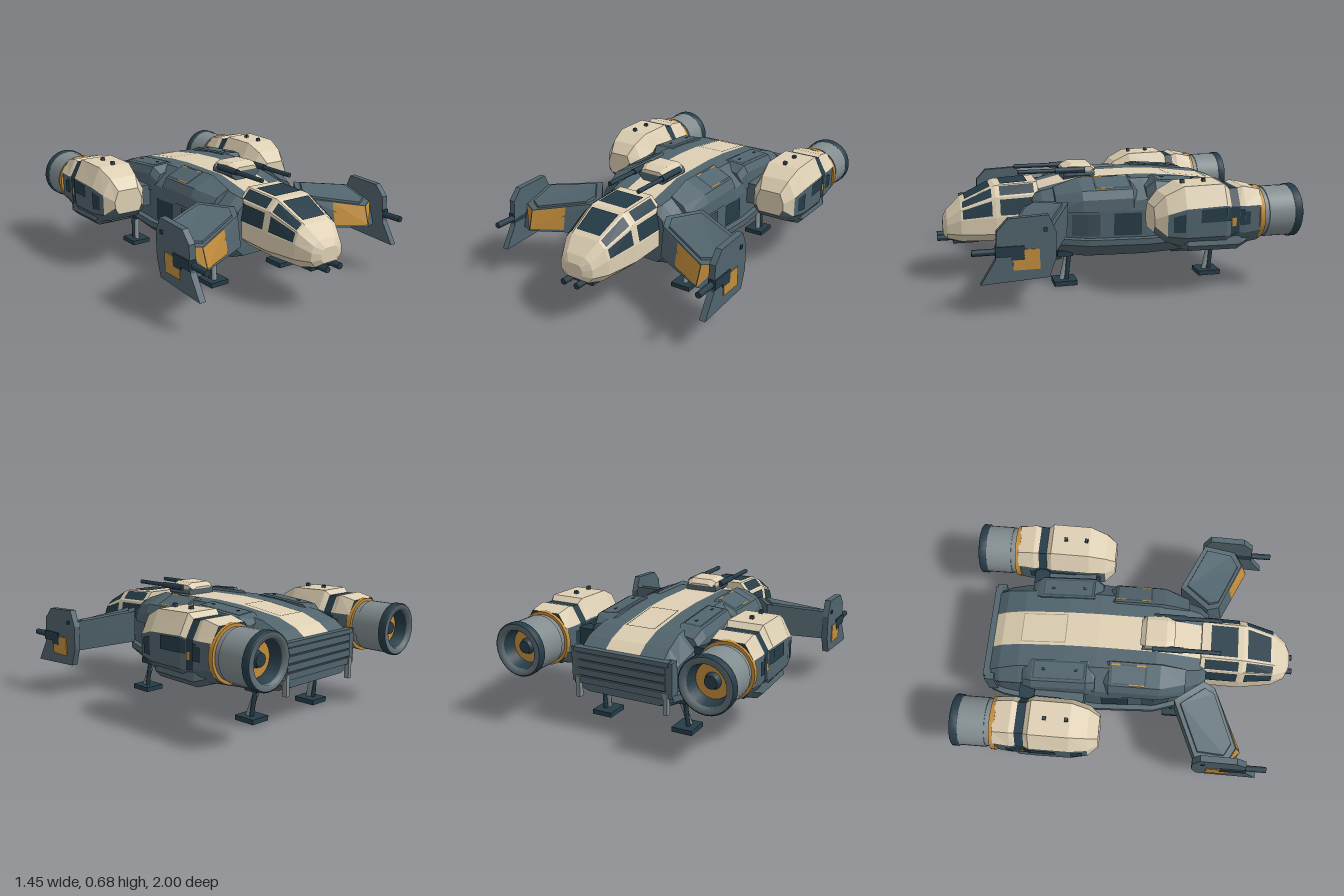
import * as THREE from 'three';

const paint = (name, color, side = THREE.FrontSide) => {
  const m = new THREE.MeshStandardMaterial({ color, side });
  m.name = name;
  return m;
};

export function createModel() {
  const slate = paint('slate', 0x51646d), navy = paint('navy', 0x263c48, THREE.DoubleSide);
  const cream = paint('cream', 0xddcfb3), orange = paint('orange', 0xc28d3b, THREE.DoubleSide);
  const grey = paint('grey', 0x828c8f), shade = paint('dark slate', 0x3c4d56), tan = paint('tan', 0xa89a80);
  const steel = paint('steel', 0x5d6b71, THREE.DoubleSide);
  const model = new THREE.Group();
  model.name = 'dropship';
  const half = new THREE.Group(); // everything on the left (+x), mirrored at the end

  const add = (name, geo, mat, parent = model) => {
    const m = new THREE.Mesh(geo, mat);
    m.name = name;
    parent.add(m);
    return m;
  };
  const soup = (tris) => {
    const g = new THREE.BufferGeometry();
    g.setAttribute('position', new THREE.Float32BufferAttribute(tris.flat(), 3));
    g.computeVertexNormals();
    return g;
  };
  const box = (name, x0, x1, y0, y1, z0, z1, mat, parent) => add(name,
    new THREE.BoxGeometry(x1 - x0, y1 - y0, z1 - z0)
      .translate((x0 + x1) / 2, (y0 + y1) / 2, (z0 + z1) / 2), mat, parent);
  // cylinder along z, from z0 (front) to z1 (back)
  const tubeZ = (name, x, y, z0, z1, r, mat, parent, n = 12, r1 = r) => add(name,
    new THREE.CylinderGeometry(r, r1, z0 - z1, n).rotateX(Math.PI / 2).translate(x, y, (z0 + z1) / 2), mat, parent);
  // bar between two points
  const bar = (name, a, b, r, mat, parent) => {
    const p = new THREE.Vector3(...a), q = new THREE.Vector3(...b), d = q.clone().sub(p);
    const m = add(name, new THREE.CylinderGeometry(r, r, d.length(), 8), mat, parent);
    m.position.copy(p).add(q).multiplyScalar(0.5);
    m.quaternion.setFromUnitVectors(new THREE.Vector3(0, 1, 0), d.normalize());
  };
  // rings run counter-clockwise seen from the first one; pick(face, bay) gives the colour
  const loft = (name, rings, pick, parent = model) => {
    const sets = new Map(), n = rings[0].length;
    const put = (mat, ...p) => sets.set(mat, [...(sets.get(mat) || []), ...p]);
    const col = (i, j) => (typeof pick === 'function' ? pick(i, j) : pick);
    for (let j = 0; j < rings.length - 1; j++) for (let i = 0; i < n; i++) {
      const k = (i + 1) % n, a = rings[j][i], b = rings[j][k], c = rings[j + 1][k], d = rings[j + 1][i];
      put(col(i, j), a, d, c, a, c, b);
    }
    const f = rings[0], e = rings[rings.length - 1];
    for (let i = 1; i < n - 1; i++) {
      put(col(-1, 0), f[0], f[i], f[i + 1]);
      put(col(-1, 1), e[0], e[i + 1], e[i]);
    }
    sets.forEach((t, mat) => add(name, soup(t), mat, parent));
  };
  const plate = (name, a, b, c, d, mat, parent) => { // quad lifted off its surface
    const v = [a, b, c, d].map((p) => new THREE.Vector3(...p));
    const nrm = v[2].clone().sub(v[0]).cross(v[3].clone().sub(v[1])).normalize().multiplyScalar(0.005);
    const p = v.map((q) => q.add(nrm).toArray());
    add(name, soup([p[0], p[1], p[2], p[0], p[2], p[3]]), mat, parent);
  };
  const patch = (name, rings, i, j, [u0, u1], [v0, v1], mat, parent) => {
    const k = (i + 1) % rings[0].length, mix = (p, q, t) => p.map((s, m) => s + (q[m] - s) * t);
    const at = (u, v) => mix(mix(rings[j][i], rings[j][k], u), mix(rings[j + 1][i], rings[j + 1][k], u), v);
    plate(name, at(u0, v0), at(u0, v1), at(u1, v1), at(u1, v0), mat, parent);
  };
  const ring = (z, pts) => pts.map(([x, y]) => [x, y, z]);
  const sym = (z, pts, cx = 0) => ring(z, [...pts.map(([x, y]) => [cx + x, y]),
    ...pts.map(([x, y]) => [cx - x, y]).reverse()]);

  // Hull: flat belly, side ledge, upright wall, sloped shoulders, roof falling to the stern
  const hull = [
    [0.45, 0.17, 0.2, 0.25, 0.27, 0.42, 0.21, 0.47, 0.15, 0.52],
    [0.4, 0.21, 0.185, 0.29, 0.255, 0.43, 0.25, 0.48, 0.18, 0.545],
    [0.15, 0.285, 0.165, 0.37, 0.245, 0.44, 0.33, 0.48, 0.22, 0.603],
    [-0.2, 0.295, 0.16, 0.385, 0.24, 0.44, 0.345, 0.5, 0.23, 0.607],
    [-0.39, 0.285, 0.165, 0.375, 0.245, 0.44, 0.34, 0.5, 0.235, 0.597],
    [-0.66, 0.265, 0.182, 0.352, 0.25, 0.425, 0.32, 0.475, 0.24, 0.563],
    [-0.78, 0.24, 0.198, 0.335, 0.255, 0.4, 0.31, 0.44, 0.25, 0.52],
    [-0.85, 0.22, 0.225, 0.31, 0.26, 0.37, 0.29, 0.4, 0.25, 0.47],
  ].map(([z, bw, yb, w, yl, ym, sw, ys, tw, yt]) => sym(z, [[bw, yb], [w, yl], [w, yl + 0.035],
    [w - 0.03, yl + 0.04], [w - 0.03, ym], [sw, ys], [tw, yt], [0.105, yt]]));
  loft('hull', hull, (i) => (i === 7 ? cream : slate));
  patch('sideWindow', hull, 3, 2, [0.08, 0.92], [0.43, 0.9], navy, half);
  patch('sideDoor', hull, 3, 1, [0.08, 0.92], [0.64, 1], shade, half);
  patch('sideDoor', hull, 3, 2, [0.08, 0.92], [0, 0.2], shade, half);
  patch('hatchFrame', hull, 7, 4, [0.07, 0.095], [0, 1], tan, half);
  for (const v of [0, 0.98]) patch('hatchFrame', hull, 7, 4, [0.095, 0.905], [v, v + 0.02], tan);

  // Shoulder armour with inset covers; drop lowers the rear end
  const armour = (name, low, full, zs, drop) => {
    const rings = zs.map((z, k) => ring(z, k === 0 || k === 3 ? low : full)
      .map(([x, y, d]) => [x, k > 1 ? y - drop : y, d]));
    loft(name, rings, slate, half);
    return [rings, rings.map((r) => r.map(([x, y, z]) => [x + 0.001, y + 0.003, z]))];
  };
  const [rear, rearTop] = armour('rearShoulder',
    [[0.34, 0.46], [0.335, 0.52], [0.31, 0.56], [0.22, 0.58], [0.21, 0.5]],
    [[0.36, 0.46], [0.355, 0.56], [0.33, 0.603], [0.2, 0.613], [0.18, 0.5]], [-0.2, -0.25, -0.57, -0.63], 0.025);
  const [fore, foreTop] = armour('foreShoulder',
    [[0.31, 0.44], [0.3, 0.48], [0.27, 0.53], [0.19, 0.57], [0.17, 0.5]],
    [[0.35, 0.44], [0.345, 0.51], [0.32, 0.56], [0.19, 0.62], [0.16, 0.56]], [0.33, 0.18, -0.12, -0.18], 0);
  patch('coverSeam', rear, 2, 1, [0.1, 0.95], [0.02, 0.98], shade, half);
  patch('rearCover', rearTop, 2, 1, [0.16, 0.88], [0.05, 0.95], slate, half);
  patch('coverSeam', fore, 2, 1, [0.06, 0.92], [0.26, 0.98], shade, half);
  patch('foreCover', foreTop, 2, 1, [0.13, 0.86], [0.3, 0.94], slate, half);
  for (const v of [0.28, 0.78]) patch('coverStripe', foreTop, 2, 1, [0.86, 0.93], [v, v + 0.18], orange, half);
  patch('coverStripe', foreTop, 2, 1, [0.04, 0.11], [0.3, 0.6], orange, half);
  for (const [z, y] of [[-0.5, 0.593], [-0.31, 0.608]]) tubeZ('coverStud', 0.26, y, z + 0.01, z - 0.01, 0.008, navy, half, 8);

  // Cockpit pod with framed panes
  const pod = [
    [0.965, 0.04, 0.285, 0.06, 0.31, 0.34, 0.05, 0.36, 0.035, 0.37],
    [0.94, 0.08, 0.265, 0.11, 0.3, 0.35, 0.095, 0.385, 0.06, 0.41],
    [0.86, 0.11, 0.25, 0.155, 0.3, 0.385, 0.135, 0.445, 0.09, 0.48],
    [0.66, 0.13, 0.25, 0.187, 0.3, 0.4, 0.165, 0.515, 0.11, 0.575],
    [0.41, 0.13, 0.26, 0.187, 0.31, 0.4, 0.165, 0.525, 0.11, 0.588],
  ].map(([z, bw, yb, w, yl, ym, uw, yu, tw, yt]) => sym(z, [[bw, yb], [w, yl], [w, ym], [uw, yu], [tw, yt]]));
  loft('cockpit', pod, cream);
  for (const j of [2, 3]) {
    patch('canopyPane', pod, 4, j, [0.07, 0.93], j === 2 ? [0.14, 0.88] : [0.14, 0.78], navy);
    for (const i of [2, 3]) patch('canopyPane', pod, i, j, [0.1, 0.88], j === 2 ? [0.06, 0.9] : [0.1, 0.9], navy, half);
  }
  box('chinMount', -0.08, 0.08, 0.232, 0.257, 0.76, 0.91, navy);
  tubeZ('chinGun', 0.045, 0.262, 1, 0.84, 0.018, navy, half);

  // Roof turret
  loft('turretBase', [0.245, 0.06].map((z) => sym(z, [[0.07, 0.585], [0.1, 0.61], [0.1, 0.63], [0.09, 0.645]])), slate);
  loft('turret', [[0.25, 0.08, 0.657], [0.2, 0.095, 0.68], [0.08, 0.095, 0.675], [0.05, 0.08, 0.65]]
    .map(([z, w, y]) => sym(z, [[w, 0.635], [w, y - 0.015], [w - 0.03, y]])), cream);
  tubeZ('turretBarrel', 0.1, 0.645, 0.52, 0.15, 0.013, navy, half);
  tubeZ('turretBreech', 0.1, 0.645, 0.3, 0.12, 0.018, navy, half);

  // Forward wings with painted leading edge
  const wing = [
    [[0.36, 0.51, 0.27], [0.23, 0.5, 0.44], [0.26, 0.475, 0.51], [0.595, 0.405, 0.65], [0.685, 0.41, 0.6], [0.685, 0.47, 0.41]],
    [[0.36, 0.32, 0.28], [0.23, 0.31, 0.45], [0.26, 0.3, 0.54], [0.59, 0.285, 0.69], [0.685, 0.275, 0.645], [0.685, 0.29, 0.42]],
  ];
  loft('wing', wing, slate, half);
  patch('wingStripe', wing, 2, 0, [0.42, 1], [0.02, 0.9], orange, half);
  const [tA, tB, bA] = [wing[0][3], wing[0][4], wing[1][3]];
  plate('wingStripe', tA, bA, tB, tB, orange, half);
  const inset = (s, h) => wing[0].map(([x, y, z]) =>
    [0.47 + (x - 0.47) * s, y * s + 0.455 * (1 - s) + h, 0.49 + (z - 0.49) * s]);
  loft('wingSkin', [inset(0.82, 0.012), inset(0.86, -0.02)], slate, half);

  // Wing-tip fins and guns
  const fin = [[0.31, 0.72], [0.18, 0.8], [0.2, 0.44], [0.3, 0.405], [0.44, 0.4], [0.535, 0.44], [0.525, 0.65], [0.46, 0.71]];
  loft('fin', [0.717, 0.68].map((x) => fin.map(([y, z]) => [x, y, z])), slate, half);
  const decal = (name, z0, z1, y0, y1, mat) => box(name, 0.714, 0.722, y0, y1, z0, z1, mat, half);
  decal('finPanel', 0.49, 0.63, 0.25, 0.305, orange);
  decal('finPanel', 0.49, 0.57, 0.305, 0.36, orange);
  decal('finPatch', 0.57, 0.64, 0.305, 0.34, navy);
  box('gunHousing', 0.68, 0.724, 0.325, 0.38, 0.57, 0.72, navy, half);
  tubeZ('finGun', 0.698, 0.35, 0.84, 0.7, 0.018, navy, half);
  box('finBolt', 0.715, 0.725, 0.45, 0.47, 0.45, 0.47, navy, half);

  // Engine nacelles
  const CX = 0.565, CY = 0.45;
  const pods = [
    [-0.15, 0.07, 0.38, 0.09, 0.42, 0.46, 0.065, 0.52],
    [-0.21, 0.09, 0.33, 0.135, 0.37, 0.49, 0.085, 0.585],
    [-0.31, 0.11, 0.3, 0.155, 0.36, 0.52, 0.1, 0.635],
    [-0.54, 0.11, 0.29, 0.157, 0.36, 0.53, 0.1, 0.64],
    [-0.57, 0.1, 0.3, 0.143, 0.36, 0.52, 0.09, 0.612],
    [-0.62, 0.1, 0.3, 0.143, 0.37, 0.52, 0.09, 0.612],
    [-0.65, 0.1, 0.3, 0.148, 0.37, 0.52, 0.095, 0.622],
    [-0.75, 0.09, 0.31, 0.14, 0.38, 0.52, 0.09, 0.6],
  ].map(([z, bw, yb, w, yl, ym, tw, yt]) => sym(z, [[bw, yb], [w, yl], [w, ym], [tw, yt]], CX));
  loft('nacelle', pods, (i, j) => (i === -1 ? (j ? navy : cream)
    : j === 4 && i < 7 && i > 0 ? navy : (i >= 2 && i <= 4) || (j === 0 && i < 6 && i > 0) ? cream : slate), half);
  for (const i of [1, 5]) {
    const span = (a, b) => (i === 1 ? [a, b] : [1 - b, 1 - a]);
    patch('intake', pods, i, 1, span(0.2, 0.85), [0.3, 0.95], navy, half);
    patch('scorchPanel', pods, i, 2, span(0.5, 0.95), [0.35, 1], navy, half);
    patch('scorchPanel', pods, i, 3, span(0.5, 0.95), [0, 1], navy, half);
    patch('scorchPanel', pods, i, 5, span(0.3, 0.9), [0, 1], navy, half);
    patch('scorchPanel', pods, i, 6, span(0.3, 0.8), [0, 0.3], navy, half);
    patch('nacelleMark', pods, i, 4, span(0.3, 0.6), [0.1, 0.6], orange, half);
  }
  loft('lowerFairing', [[-0.27, 0.06, 0.3], [-0.33, 0.11, 0.275], [-0.62, 0.11, 0.27], [-0.71, 0.07, 0.3]]
    .map(([z, w, y]) => sym(z, [[w, y], [w + 0.035, y + 0.035], [w + 0.02, 0.36]], CX)), slate, half);
  box('fairingFoot', 0.42, 0.46, 0.258, 0.3, -0.5, -0.4, navy, half);
  for (const z of [-0.33, -0.455]) box('stud', CX - 0.01, CX + 0.01, 0.63, 0.655, z - 0.01, z + 0.01, shade, half);
  box('pylon', 0.32, 0.44, 0.36, 0.49, -0.55, -0.26, slate, half);
  box('pylonClamp', 0.32, 0.44, 0.38, 0.5, -0.64, -0.55, navy, half);

  // Exhausts
  const lathe = (name, pts, mat) => add(name, new THREE.LatheGeometry(pts.map(([r, z]) => new THREE.Vector2(r, z)), 28)
    .rotateX(-Math.PI / 2).translate(CX, CY, 0), mat, half);
  tubeZ('orangeRing', CX, CY, -0.74, -0.77, 0.156, orange, half, 28);
  tubeZ('exhaustCollar', CX, CY, -0.768, -0.81, 0.139, grey, half, 28);
  tubeZ('exhaust', CX, CY, -0.8, -0.9, 0.145, grey, half, 28);
  tubeZ('orangeBurner', CX, CY, -0.88, -0.915, 0.095, orange, half, 28);
  tubeZ('burnerHub', CX, CY, -0.9, -0.945, 0.05, navy, half, 16, 0.035);
  add('exhaustSkin', new THREE.CylinderGeometry(0.145, 0.145, 0.08, 28, 1, true).rotateX(Math.PI / 2)
    .translate(CX, CY, -0.93), grey, half);
  lathe('nozzleLining', [[0.095, 0.9], [0.115, 0.995], [0.14, 0.99], [0.14, 0.9]], navy);
  lathe('nozzleRim', [[0.142, 0.95], [0.152, 0.96], [0.152, 0.995], [0.145, 1]], navy);
  lathe('nozzleFace', [[0.145, 1], [0.112, 1], [0.112, 0.97]], steel);

  // Stern grille
  box('grilleBack', -0.26, 0.26, 0.27, 0.46, -0.858, -0.83, shade);
  for (let k = 0; k < 4; k++) box('grilleSlat', -0.27, 0.27, 0.275 + k * 0.045, 0.311 + k * 0.045, -0.87, -0.83, slate);
  box('sternLip', -0.29, 0.29, 0.452, 0.478, -0.875, -0.83, slate);
  box('sternCorner', 0.27, 0.31, 0.28, 0.475, -0.865, -0.81, slate, half);
  box('sternStrut', 0.26, 0.285, 0.19, 0.31, -0.875, -0.845, grey, half);

  // Landing gear
  for (const z of [0.28, -0.61]) {
    box('footPad', 0.198, 0.322, 0, 0.028, z - 0.068, z + 0.068, navy, half);
    bar('leg', [0.268, 0.02, z + 0.02], [0.235, 0.2, z - 0.03], 0.016, grey, half);
    bar('legBrace', [0.272, 0.02, z - 0.01], [0.262, 0.19, z - 0.03], 0.013, navy, half);
    box('gearDoor', 0.21, 0.275, 0.166, 0.2, z - 0.05, z + 0.04, navy, half);
  }

  // Left half, and its mirror image with the corner order reversed
  half.name = 'leftSide';
  const right = new THREE.Group();
  right.name = 'rightSide';
  half.children.forEach((m) => {
    m.updateMatrix();
    const g = (m.geometry.index ? m.geometry.toNonIndexed() : m.geometry.clone()).applyMatrix4(m.matrix);
    for (const key of ['position', 'normal']) {
      const a = g.attributes[key], old = a.clone();
      for (let t = 0; t < a.count; t++) {
        const s = t - (t % 3) + (2 - (t % 3));
        a.setXYZ(t, -old.getX(s), old.getY(s), old.getZ(s));
      }
    }
    add(m.name, g, m.material, right);
  });
  model.add(half, right);
  return model;
}
